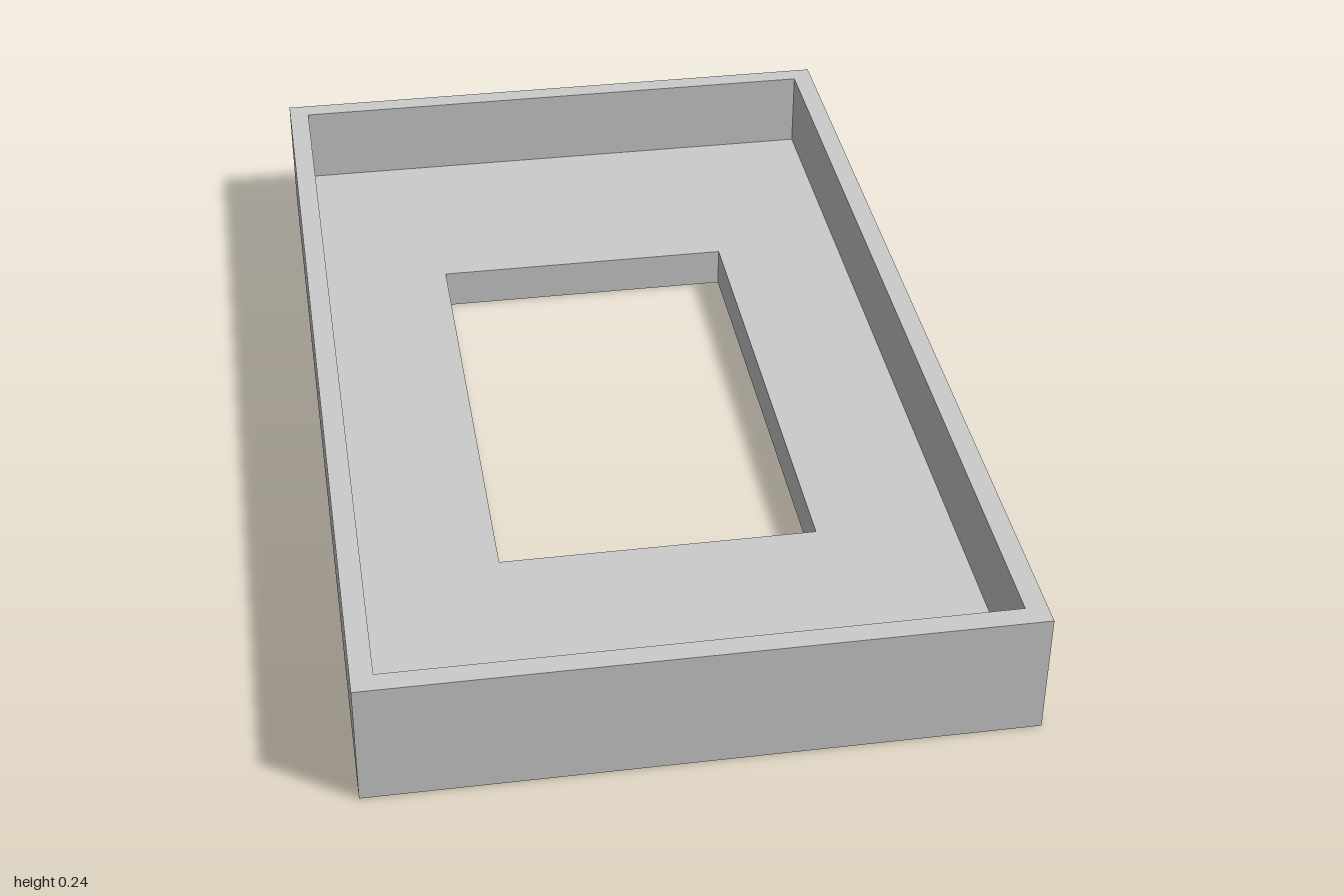
import * as THREE from 'three';

const material = new THREE.MeshStandardMaterial({ color: 0xcccccc });

// Corners of a centred rectangle
function corners(w, d) {
  return [[-1, -1], [1, -1], [1, 1], [-1, 1]].map(([x, y]) => new THREE.Vector2(x * w / 2, y * d / 2));
}

// Flat rectangular ring standing on y0, with a rectangular opening
function ring(name, outer, inner, y0, height) {
  const shape = new THREE.Shape(corners(...outer));
  shape.holes.push(new THREE.Path(corners(...inner).reverse()));
  const geometry = new THREE.ExtrudeGeometry(shape, { depth: height, bevelEnabled: false });
  geometry.rotateX(-Math.PI / 2);
  const mesh = new THREE.Mesh(geometry, material);
  mesh.name = name;
  mesh.position.y = y0;
  return mesh;
}

export function createModel() {
  const group = new THREE.Group();
  group.name = 'openTray';
  const outer = [1.2, 2];
  const floorHeight = 0.08;
  // Floor plate with the central window
  group.add(ring('floor', outer, [0.6, 1], 0, floorHeight));
  // Thin rim wall around the edge
  group.add(ring('rimWall', outer, [1.12, 1.92], floorHeight, 0.16));
  return group;
}
